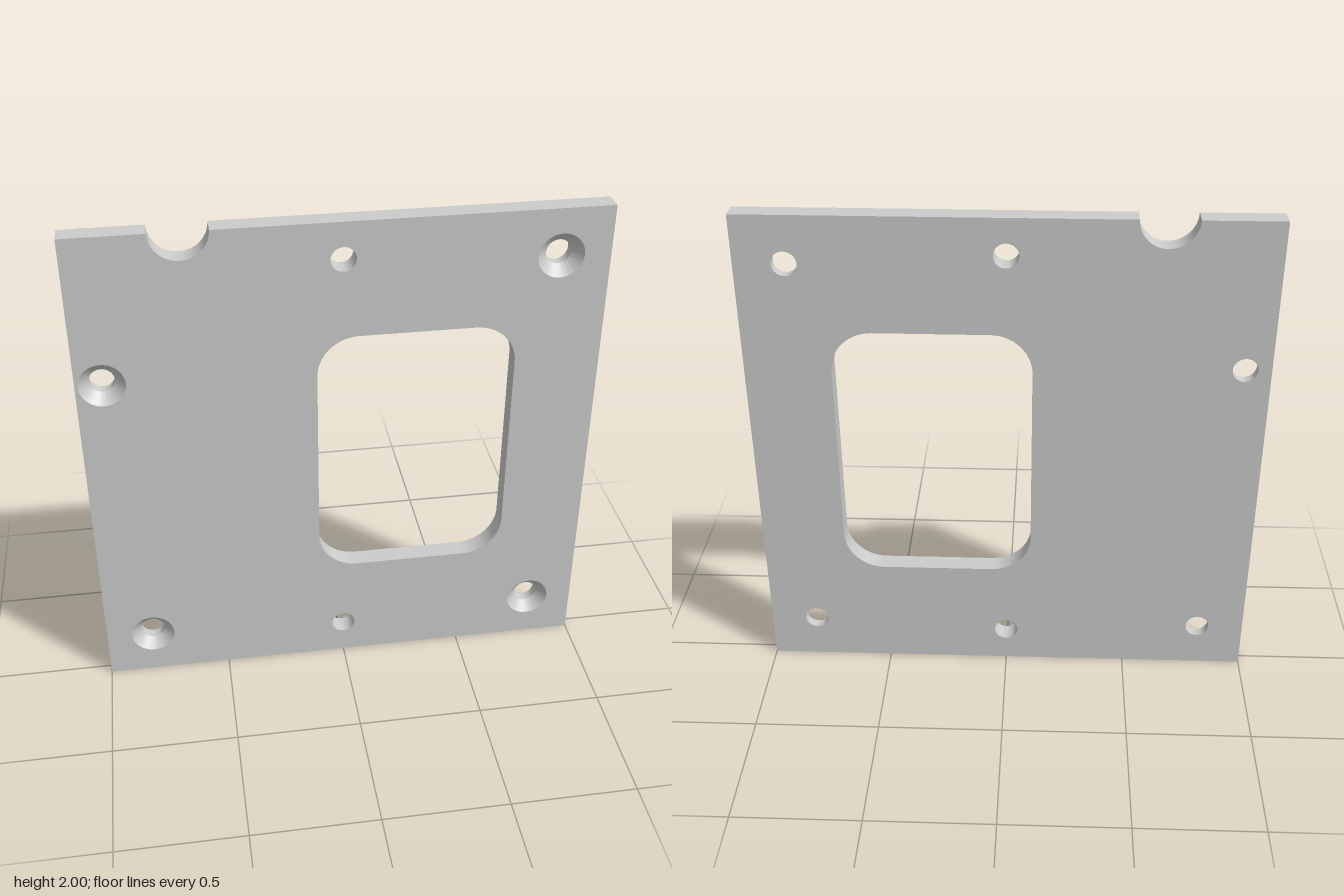
import * as THREE from 'three';
import { mergeGeometries, toCreasedNormals } from 'three/addons/utils/BufferGeometryUtils.js';

const FRONT = 0.04, BACK = -0.04;
const BORE = 0.048, SINK = 0.088;      // hole and countersink radii
const SEAT = FRONT - (SINK - BORE);    // depth where the 45 degree countersink ends

// clockwise circle, so walls lofted from it face into the hole
function circle(x, y, r, n = 48) {
  return Array.from({ length: n }, (_, i) => {
    const a = -i / n * Math.PI * 2;
    return new THREE.Vector2(x + r * Math.cos(a), y + r * Math.sin(a));
  });
}

// clockwise rounded rectangle
function roundedRect(x0, y0, x1, y1, r, n = 14) {
  const corners = [[x1 - r, y1 - r, 90], [x1 - r, y0 + r, 0], [x0 + r, y0 + r, -90], [x0 + r, y1 - r, -180]];
  return corners.flatMap(([x, y, start]) => Array.from({ length: n + 1 }, (_, i) => {
    const a = (start - 90 * i / n) * Math.PI / 180;
    return new THREE.Vector2(x + r * Math.cos(a), y + r * Math.sin(a));
  }));
}

// wall between a back loop and a front loop with matching points
function loft(backLoop, zBack, frontLoop, zFront) {
  const pos = [];
  backLoop.forEach((a, i) => {
    const j = (i + 1) % backLoop.length;
    const b = backLoop[j], c = frontLoop[j], d = frontLoop[i];
    pos.push(a.x, a.y, zBack, b.x, b.y, zBack, c.x, c.y, zFront);
    pos.push(a.x, a.y, zBack, c.x, c.y, zFront, d.x, d.y, zFront);
  });
  return new THREE.BufferGeometry().setAttribute('position', new THREE.Float32BufferAttribute(pos, 3));
}

// flat face with holes, flipped for the back
function face(outline, holes, z, flip) {
  const shape = new THREE.Shape(outline);
  shape.holes = holes.map((h) => new THREE.Path(h));
  const g = new THREE.ShapeGeometry(shape);
  if (flip) g.index.array.reverse();
  g.translate(0, 0, z);
  g.deleteAttribute('uv');
  g.deleteAttribute('normal');
  return g.toNonIndexed();
}

export function createModel() {
  const group = new THREE.Group();
  group.name = 'mountingPlate';
  const material = new THREE.MeshStandardMaterial({ color: 0xcccccc });
  const add = (name, parts) => {
    const mesh = new THREE.Mesh(toCreasedNormals(mergeGeometries(parts), 0.5), material);
    mesh.name = name;
    group.add(mesh);
  };

  // square outline with a half-round notch in the top edge
  const outline = [new THREE.Vector2(-1, 0), new THREE.Vector2(1, 0), new THREE.Vector2(1, 2)];
  for (let i = 0; i <= 24; i++) {
    const a = -i / 24 * Math.PI;
    outline.push(new THREE.Vector2(-0.582 + 0.109 * Math.cos(a), 2 + 0.109 * Math.sin(a)));
  }
  outline.push(new THREE.Vector2(-1, 2));

  const windowLoop = roundedRect(-0.1, 0.464, 0.665, 1.54, 0.16);
  const plain = [[0, 1.855], [0, 0.15]];
  const sunk = [[0.81, 1.813], [0.81, 0.19], [-0.81, 0.19], [-0.9, 1.41]];
  const plainLoops = plain.map(([x, y]) => circle(x, y, BORE));
  const boreLoops = sunk.map(([x, y]) => circle(x, y, BORE));
  const sinkLoops = sunk.map(([x, y]) => circle(x, y, SINK));

  // plate body: both faces, rim and window wall
  add('plate', [
    face(outline, [windowLoop, ...plainLoops, ...sinkLoops], FRONT, false),
    face(outline, [windowLoop, ...plainLoops, ...boreLoops], BACK, true),
    loft(outline, BACK, outline, FRONT),
    loft(windowLoop, BACK, windowLoop, FRONT),
  ]);

  // straight through holes
  plainLoops.forEach((l) => add('throughHole', [loft(l, BACK, l, FRONT)]));

  // countersunk screw holes: bore, then cone opening to the front
  boreLoops.forEach((l, i) => add('countersunkHole', [
    loft(l, BACK, l, SEAT),
    loft(l, SEAT, sinkLoops[i], FRONT),
  ]));

  return group;
}
